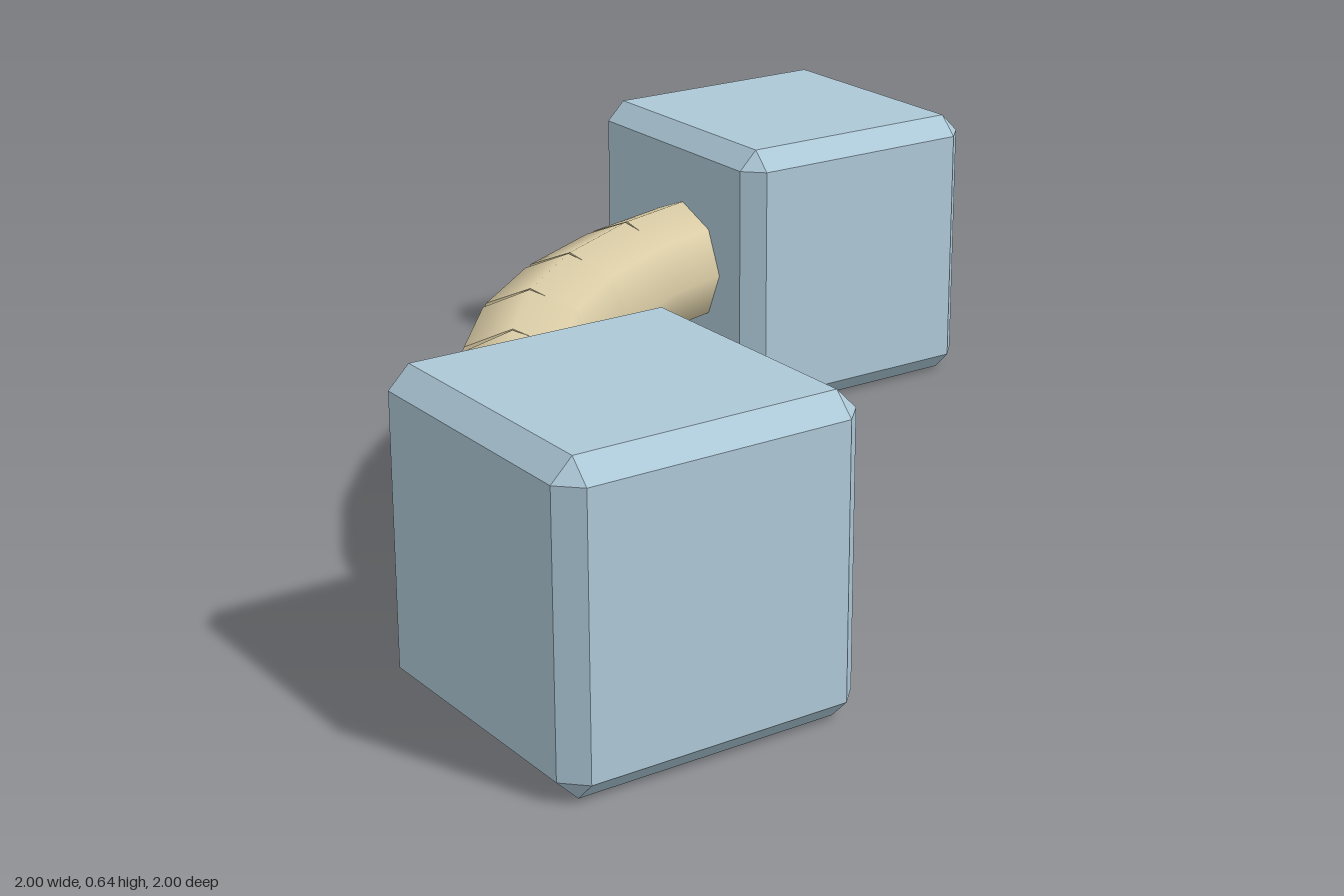
import * as THREE from 'three';
import { ConvexGeometry } from 'three/addons/geometries/ConvexGeometry.js';

const HALF = 0.32;      // half size of each cube
const CHAMFER = 0.044;
const CENTRE = 0.68;    // cube centres, and centre of the bend
const BEND_RADIUS = 1.36;
const SEGMENTS = 8;

// Cube with every edge and corner cut off flat
function chamferedCube(h, c) {
  const k = h - c;
  const points = [];
  for (const x of [-1, 1]) for (const y of [-1, 1]) for (const z of [-1, 1]) {
    points.push(
      new THREE.Vector3(x * h, y * k, z * k),
      new THREE.Vector3(x * k, y * h, z * k),
      new THREE.Vector3(x * k, y * k, z * h)
    );
  }
  return new ConvexGeometry(points);
}

export function createModel() {
  const model = new THREE.Group();
  model.name = 'cornerPipe';

  const blue = new THREE.MeshStandardMaterial({ color: 0xadc8d7 });
  blue.name = 'pale blue';
  const tan = new THREE.MeshStandardMaterial({ color: 0xdacca6 });
  tan.name = 'sand';

  // End blocks
  const cube = chamferedCube(HALF, CHAMFER);
  for (const [name, s] of [['backBlock', -1], ['frontBlock', 1]]) {
    const block = new THREE.Mesh(cube, blue);
    block.name = name;
    block.position.set(s * CENTRE, HALF, s * CENTRE);
    model.add(block);
  }

  // Quarter bend of straight pipe pieces, overlapping inside and gaping outside
  const step = Math.PI / 2 / SEGMENTS;
  const pieceRadius = BEND_RADIUS * Math.cos(step / 2);
  const length = 2 * (pieceRadius - 0.038) * Math.tan(step / 2);
  const piece = new THREE.CylinderGeometry(0.145, 0.145, length, 8).rotateX(Math.PI / 2);
  const pipe = new THREE.Group();
  pipe.name = 'bentPipe';
  for (let i = 0; i < SEGMENTS; i++) {
    const a = (i + 0.5) * step;
    const mesh = new THREE.Mesh(piece, tan);
    mesh.name = 'pipeSegment' + (i + 1);
    mesh.position.set(
      CENTRE - pieceRadius * Math.cos(a),
      HALF + 0.003,
      -CENTRE + pieceRadius * Math.sin(a)
    );
    mesh.rotation.y = a;
    pipe.add(mesh);
  }
  model.add(pipe);
  return model;
}
